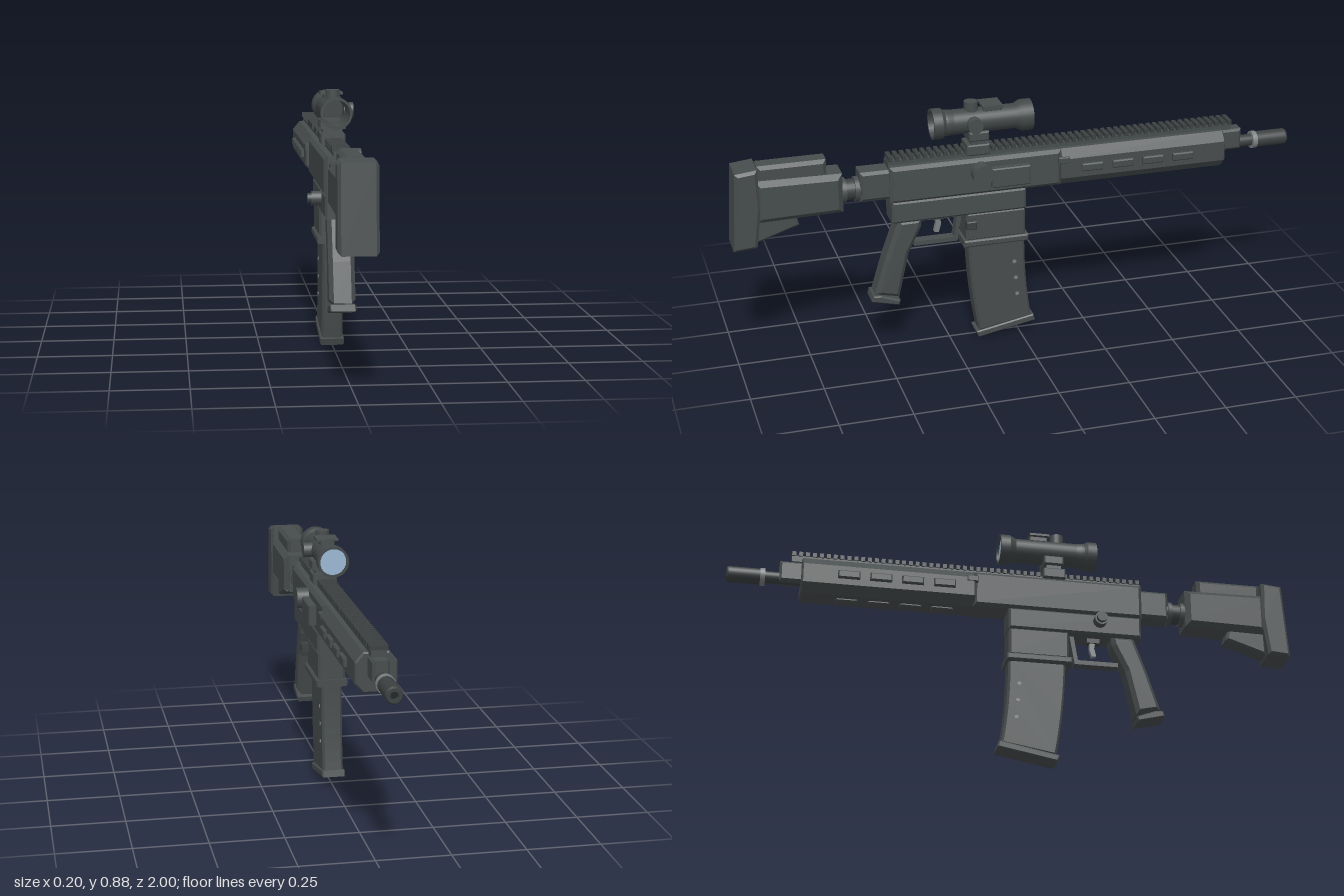
import * as THREE from 'three';

const mat = (name, color, extra = {}) => {
  const m = new THREE.MeshStandardMaterial({ color, ...extra });
  m.name = name;
  return m;
};

export function createModel() {
  const body = mat('gunmetal', 0x474c4d);
  const dark = mat('dark gunmetal', 0x3c4041);
  const black = mat('near black', 0x222525);
  const steel = mat('steel', 0x7c8082);
  const glass = mat('blue glass', 0x9bb8d3, { side: THREE.DoubleSide });
  const root = new THREE.Group();

  const add = (name, geo, material, x = 0, y = 0, z = 0) => {
    const m = new THREE.Mesh(geo, material);
    m.name = name;
    m.position.set(x, y, z);
    root.add(m);
    return m;
  };
  // Bevelled solid of a shape, centred along its depth
  const solid = (shape, depth, b) => {
    const g = new THREE.ExtrudeGeometry(shape, {
      depth: depth - 2 * b, bevelEnabled: b > 0, bevelThickness: b, bevelSize: b,
      bevelOffset: -b, bevelSegments: 1, curveSegments: 8,
    });
    return g.translate(0, 0, -(depth - 2 * b) / 2);
  };
  const poly = pts => new THREE.Shape(pts.map(p => new THREE.Vector2(p[0], p[1])));
  // Side profile given as [z, y] points, extruded across x
  const side = (name, pts, width, b, material = body, x = 0) =>
    add(name, solid(Array.isArray(pts) ? poly(pts) : pts, width, b).rotateY(-Math.PI / 2), material, x);
  const block = (name, z0, z1, y0, y1, width, b, material = body, x = 0) =>
    side(name, [[z0, y0], [z1, y0], [z1, y1], [z0, y1]], width, b, material, x);
  // Cylinder along z
  const rod = (name, z0, z1, y, r, material, r2 = r, seg = 24) =>
    add(name, new THREE.CylinderGeometry(r2, r, Math.abs(z1 - z0), seg).rotateX(Math.PI / 2),
      material, 0, y, (z0 + z1) / 2);
  // Cylinder along x
  const knob = (name, x0, x1, y, z, r, material = body) =>
    add(name, new THREE.CylinderGeometry(r, r, Math.abs(x1 - x0), 20).rotateZ(Math.PI / 2),
      material, (x0 + x1) / 2, y, z);
  // Sharp-edged turned part along z from [radius, z] points, one band per segment
  const turned = (name, pts, y, material) => {
    for (let i = 0; i + 1 < pts.length; i++) {
      const seg = [pts[i], pts[i + 1]].map(p => new THREE.Vector2(p[0], p[1]));
      add(name, new THREE.LatheGeometry(seg, 28).rotateX(Math.PI / 2), material, 0, y, 0);
    }
  };

  // Stock
  side('buttPad', [[0.905, 0.74], [0.98, 0.732], [0.998, 0.455], [0.918, 0.46], [0.9, 0.6]], 0.126, 0.01);
  side('stockBody', [[0.62, 0.55], [0.915, 0.545], [0.915, 0.695], [0.62, 0.69]], 0.118, 0.018);
  side('stockStrut', [[0.77, 0.515], [0.915, 0.468], [0.915, 0.56], [0.78, 0.56]], 0.07, 0.008);
  block('cheekRest', 0.67, 0.903, 0.68, 0.742, 0.074, 0.012);
  rod('bufferTube', 0.46, 0.64, 0.612, 0.036, dark);
  rod('bufferCollar', 0.56, 0.575, 0.612, 0.043, body);
  rod('stockCollar', 0.605, 0.625, 0.612, 0.043, body);
  block('receiverEnd', 0.45, 0.56, 0.575, 0.68, 0.08, 0.01);

  // Receiver
  block('upperReceiver', -0.145, 0.46, 0.56, 0.692, 0.112, 0.012);
  block('lowerReceiver', -0.02, 0.455, 0.485, 0.565, 0.104, 0.008);
  block('magazineWell', -0.018, 0.195, 0.385, 0.49, 0.096, 0.008);
  block('wellLip', -0.026, 0.205, 0.365, 0.39, 0.112, 0.005);
  block('ejectionCover', -0.025, 0.11, 0.59, 0.66, 0.03, 0.004, body, 0.068);
  knob('forwardAssist', 0.05, 0.098, 0.647, 0.145, 0.036);
  block('magazineRelease', 0.165, 0.2, 0.44, 0.47, 0.03, 0.003, dark, 0.06);
  knob('selectorBase', -0.05, -0.085, 0.535, 0.305, 0.024);
  knob('selectorKnob', -0.08, -0.098, 0.535, 0.305, 0.018, dark);

  // Top rail with cross teeth
  block('rail', -0.78, 0.46, 0.685, 0.708, 0.05, 0);
  for (let i = 0; i < 52; i++) {
    const z = -0.773 + i * 0.024;
    add('railTooth', new THREE.BoxGeometry(0.06, 0.016, 0.014), dark, 0, 0.714, z);
  }

  // Eight-sided handguard with raised panels
  const hg = poly([[-0.04, 0.56], [0.04, 0.56], [0.068, 0.59], [0.068, 0.66], [0.042, 0.692],
    [-0.042, 0.692], [-0.068, 0.66], [-0.068, 0.59]]);
  add('handguard', solid(hg, 0.605, 0.005), body, 0, 0, -0.4425);
  for (let i = 0; i < 4; i++) {
    const z = -0.25 - i * 0.111;
    for (const s of [-1, 1]) {
      block('sidePanel', z - 0.038, z + 0.038, 0.612, 0.64, 0.02, 0.004, body, s * 0.07);
    }
    block('lowerPanel', z - 0.038, z + 0.038, 0.552, 0.57, 0.036, 0.004);
  }
  for (const s of [-1, 1]) block('handguardLug', -0.17, -0.13, 0.645, 0.668, 0.02, 0.003, body, s * 0.06);

  // Gas block, barrel and muzzle
  block('gasBlock', -0.82, -0.735, 0.608, 0.684, 0.056, 0.008);
  rod('barrel', -0.9, -0.74, 0.627, 0.021, dark);
  rod('muzzleCollar', -0.885, -0.868, 0.627, 0.031, steel);
  turned('muzzleDevice', [[0, -0.95], [0.013, -0.95], [0.013, -1], [0.024, -1], [0.028, -0.994],
    [0.028, -0.885], [0, -0.885]].reverse().map(p => [p[0], p[1]]).reverse(), 0.627, dark)
  ;
  rod('muzzleBore', -0.99, -0.985, 0.627, 0.012, black);

  // Pistol grip and trigger
  side('pistolGrip', [[0.43, 0.49], [0.348, 0.49], [0.352, 0.455], [0.398, 0.36], [0.434, 0.2],
    [0.52, 0.22], [0.48, 0.35]], 0.086, 0.014);
  side('gripCap', [[0.432, 0.19], [0.437, 0.172], [0.533, 0.196], [0.527, 0.217], [0.5, 0.215]], 0.086, 0.004);
  side('triggerGuard', [[0.375, 0.38], [0.22, 0.38], [0.202, 0.49], [0.217, 0.49], [0.232, 0.396],
    [0.375, 0.396]], 0.036, 0);
  side('triggerBase', [[0.267, 0.468], [0.312, 0.468], [0.312, 0.49], [0.267, 0.49]], 0.03, 0, dark);
  side('trigger', [[0.277, 0.475], [0.298, 0.475], [0.293, 0.45], [0.3, 0.42], [0.284, 0.417],
    [0.276, 0.445]], 0.018, 0, steel);

  // Curved magazine
  const mag = new THREE.Shape();
  mag.moveTo(0.185, 0.38);
  mag.quadraticCurveTo(0.18, 0.19, 0.148, 0.025);
  mag.lineTo(-0.044, 0.058);
  mag.quadraticCurveTo(-0.018, 0.2, -0.018, 0.38);
  side('magazine', mag, 0.072, 0.008);
  side('magazineBase', [[0.152, 0.003], [0.16, 0.026], [-0.05, 0.066], [-0.056, 0.042]], 0.082, 0.004);
  for (let i = 0; i < 3; i++) {
    for (const s of [-1, 1]) knob('roundMarker', s * 0.033, s * 0.038, 0.282 - i * 0.063, 0.02 - i * 0.005, 0.007, steel);
  }

  // Hollow sight tube, outer wall from front to back then inner wall
  const cy = 0.815;
  turned('sightTube', [[0.046, -0.02], [0.046, -0.047], [0.054, -0.047], [0.054, -0.012], [0.043, 0.01],
    [0.043, 0.255], [0.053, 0.27], [0.053, 0.302], [0.045, 0.302], [0.045, 0.25], [0.04, 0.2],
    [0.04, -0.02], [0.046, -0.02]], cy, mat('sight gunmetal', 0x424748, { side: THREE.DoubleSide }));
  add('frontLens', new THREE.CircleGeometry(0.047, 28), glass, 0, cy, -0.038);
  // Aperture mask and aiming caret inside the tube
  const mask = new THREE.Shape().absarc(0, 0, 0.042, 0, Math.PI * 2);
  mask.holes.push(poly([[-0.018, -0.038], [-0.018, -0.02], [-0.037, -0.02], [-0.037, 0.012],
    [-0.022, 0.033], [0.022, 0.033], [0.037, 0.012], [0.037, -0.02], [0.018, -0.02], [0.018, -0.038]]));
  add('apertureMask', solid(mask, 0.006, 0), dark, 0, cy, 0.1);
  add('aimingCaret', solid(poly([[-0.008, -0.009], [0, -0.002], [0.008, -0.009], [0, 0.0005]]), 0.002, 0),
    black, 0, cy, -0.034);

  // Sight turrets, cover and mount
  add('topTurret', new THREE.CylinderGeometry(0.024, 0.024, 0.035, 20), body, 0, 0.867, 0.163);
  knob('sideTurret', 0.036, 0.069, cy, 0.163, 0.026);
  block('sightCover', 0.06, 0.125, 0.848, 0.872, 0.05, 0.003);
  block('sightCoverPlate', 0.06, 0.13, 0.865, 0.873, 0.076, 0);
  block('mountCollar', 0.11, 0.18, 0.752, 0.785, 0.09, 0.004);
  block('mountNeck', 0.12, 0.172, 0.73, 0.756, 0.066, 0);
  block('mountClamp', 0.107, 0.187, 0.7, 0.738, 0.084, 0.004);

  return root;
}
